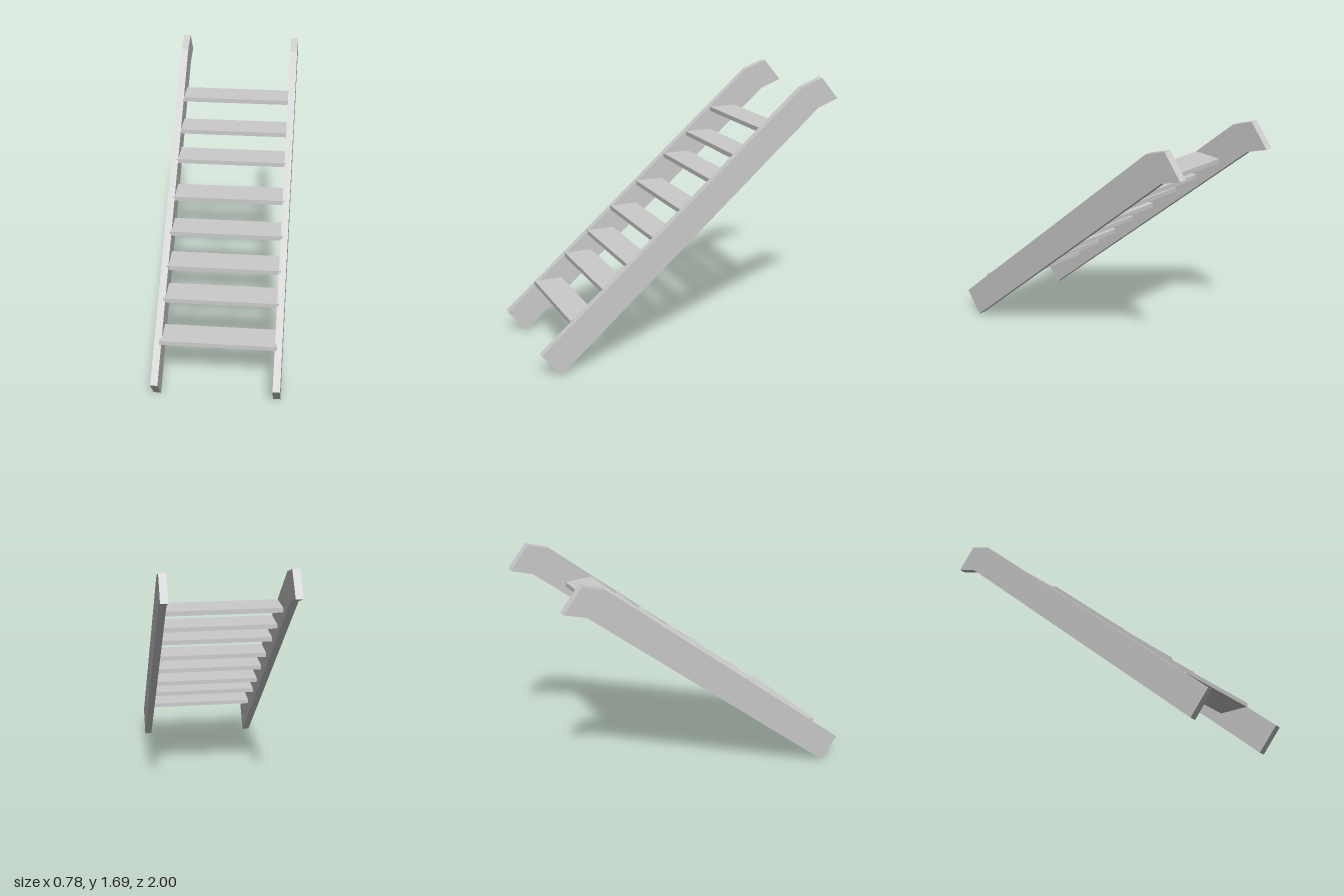
import * as THREE from 'three';

export function createModel() {
  const group = new THREE.Group();
  const material = new THREE.MeshStandardMaterial({ color: 0xcccccc, flatShading: true });

  // Side rails: sloping profile as [z, y], with a bent handle end at the top
  const railWidth = 0.045;
  const outerX = 0.39;
  const profile = [[1, 0.145], [0.88, 0], [-0.86, 1.5], [-1, 1.55], [-0.88, 1.69], [-0.74, 1.64]];
  const shape = new THREE.Shape(profile.map(([z, y]) => new THREE.Vector2(-z, y)));
  const railGeometry = new THREE.ExtrudeGeometry(shape, { depth: railWidth, bevelEnabled: false });
  railGeometry.rotateY(Math.PI / 2); // shape x becomes -z, depth becomes +x
  for (const [name, x] of [['leftRail', outerX - railWidth], ['rightRail', -outerX]]) {
    const rail = new THREE.Mesh(railGeometry, material);
    rail.name = name;
    rail.position.x = x;
    group.add(rail);
  }

  // Treads: flat boards let into the rails, as [front z, top y]
  const depth = 0.182;
  const thickness = 0.028;
  const treads = [
    [0.81, 0.336], [0.597, 0.504], [0.435, 0.64], [0.267, 0.79],
    [0.08, 0.942], [-0.12, 1.112], [-0.287, 1.247], [-0.465, 1.4],
  ];
  const treadGeometry = new THREE.BoxGeometry(0.715, thickness, depth);
  treads.forEach(([front, top], i) => {
    const tread = new THREE.Mesh(treadGeometry, material);
    tread.name = `tread${i + 1}`;
    tread.position.set(0, top - thickness / 2, front - depth / 2);
    group.add(tread);
  });

  return group;
}
